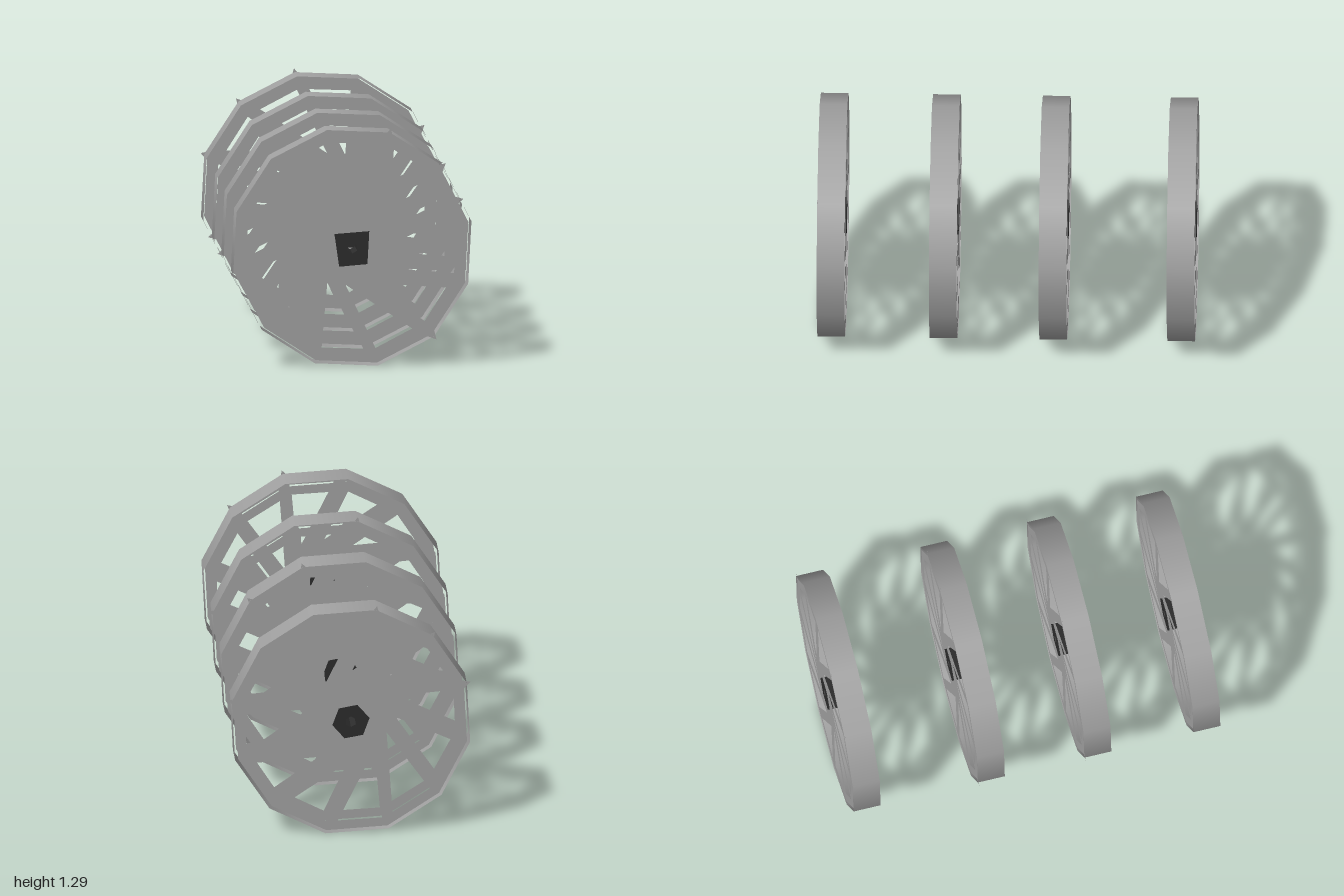
import * as THREE from 'three';

const RAD = Math.PI / 180;
const CENTRE_Y = 0.637;
const DEPTH = 0.147;

const steel = new THREE.MeshStandardMaterial({ color: 0xa1a1a1, side: THREE.DoubleSide });
steel.name = 'grey steel';
const dark = new THREE.MeshStandardMaterial({ color: 0x2c2c2c });
dark.name = 'dark hub';

const polar = (r, deg) => new THREE.Vector2(r * Math.cos(deg * RAD), r * Math.sin(deg * RAD));
const polygon = (r, n, start) =>
  Array.from({ length: n }, (_, i) => polar(r, start + (i * 360) / n));

// Flat wheel face: twelve-sided ring with swept spokes left between triangular windows
function faceGeometry() {
  const shape = new THREE.Shape(polygon(0.63, 12, 12));
  const window = [[-0.07, 0.563], [0.165, 0.553], [0.13, 0.153]].map(p => new THREE.Vector2(...p));
  const origin = new THREE.Vector2();
  for (let i = 0; i < 12; i++) {
    shape.holes.push(new THREE.Path(window.map(p => p.clone().rotateAround(origin, i * 30 * RAD))));
  }
  shape.holes.push(new THREE.Path(polygon(0.03, 6, 30)));
  return new THREE.ShapeGeometry(shape);
}

// Half-depth hub block with a six-sided bore, centred on its own depth
function hubGeometry(outline) {
  const shape = new THREE.Shape(outline);
  shape.holes.push(new THREE.Path(polygon(0.03, 6, 30)));
  return new THREE.ExtrudeGeometry(shape, { depth: DEPTH / 2, bevelEnabled: false })
    .translate(0, 0, -DEPTH / 4);
}

// Small flat point that sticks out past a rim corner
function spikeGeometry(deg) {
  return new THREE.ShapeGeometry(
    new THREE.Shape([polar(0.61, deg - 3), polar(0.668, deg), polar(0.61, deg + 3)]));
}

export function createModel() {
  const model = new THREE.Group();
  model.name = 'wheelRow';

  const face = faceGeometry();
  const frontHub = hubGeometry(
    [[-0.07, -0.1], [0.08, -0.088], [0.09, 0.088], [-0.095, 0.075]].map(p => new THREE.Vector2(...p)));
  const backHub = hubGeometry(polygon(0.1, 6, 50));
  const band = new THREE.CylinderGeometry(0.647, 0.647, DEPTH, 12, 1, true, 12 * RAD)
    .rotateX(Math.PI / 2);

  // Wheel position along z, and the rim corners that carry a spike
  const wheels = [
    { z: 0.9265, spikes: [42, 72, -48] },
    { z: 0.332, spikes: [12, 102, 192] },
    { z: -0.249, spikes: [42, 72, 192] },
    { z: -0.9265, spikes: [12, 102, 132, 162] },
  ];

  wheels.forEach(({ z, spikes }, i) => {
    const wheel = new THREE.Group();
    wheel.name = `wheel${i + 1}`;
    wheel.position.set(0, CENTRE_Y, z);
    const add = (name, geometry, material, dz = 0) => {
      const mesh = new THREE.Mesh(geometry, material);
      mesh.name = name;
      mesh.position.z = dz;
      wheel.add(mesh);
    };

    add('rimBand', band, steel);
    add('frontHub', frontHub, dark, DEPTH / 4);
    add('backHub', backHub, dark, -DEPTH / 4);
    const inset = DEPTH / 2 - 0.003;
    add('frontSpokes', face, steel, inset);
    add('backSpokes', face, steel, -inset);
    const spikeZ = i === 0 ? inset : -inset;
    spikes.forEach(deg => add('rimSpike', spikeGeometry(deg), steel, spikeZ));
    model.add(wheel);
  });

  return model;
}
